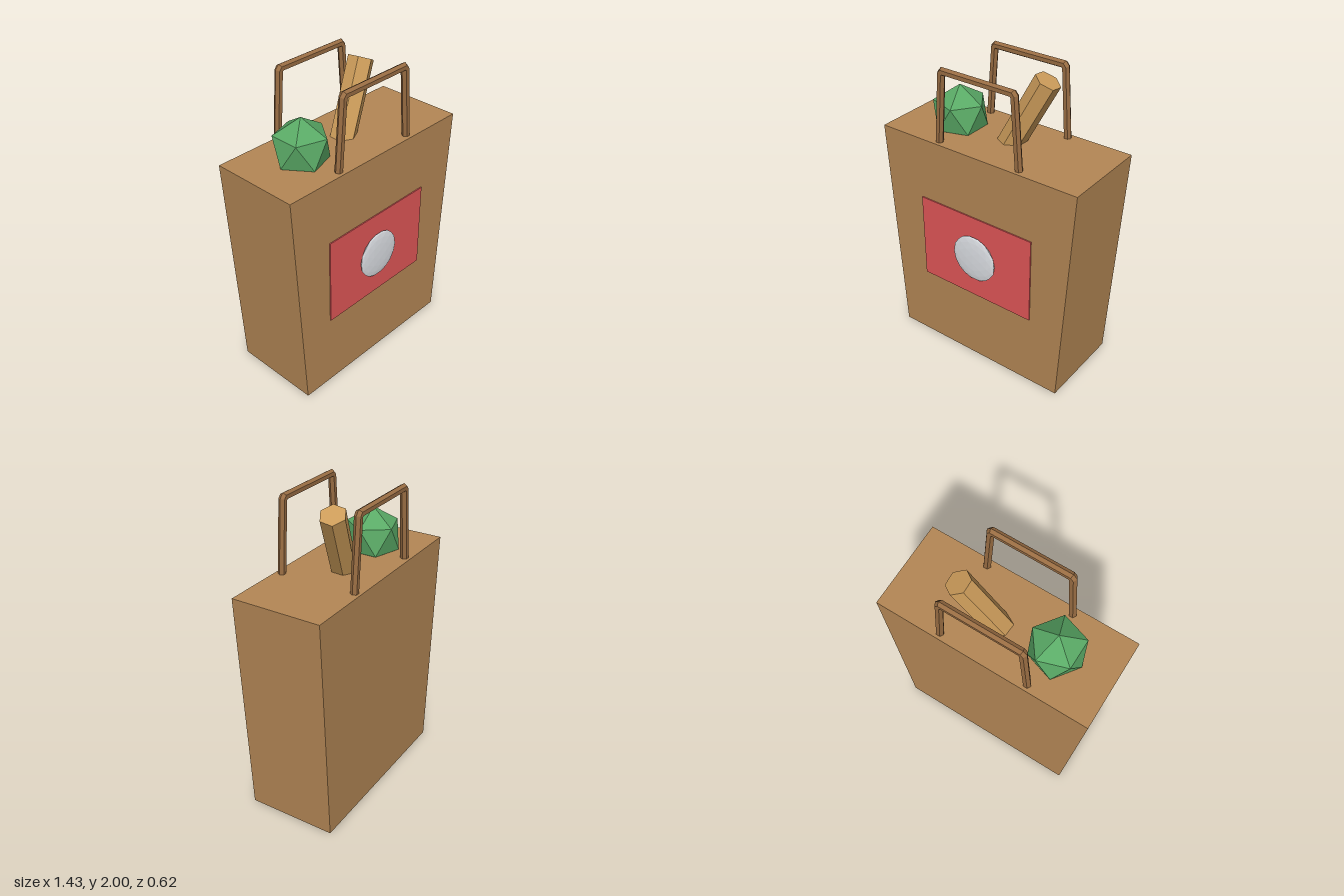
import * as THREE from 'three';

const mat = (name, color) => Object.assign(new THREE.MeshStandardMaterial({ color }), { name });

// Faceted look: one normal per face
function flat(geometry) {
  const g = geometry.index ? geometry.toNonIndexed() : geometry;
  g.computeVertexNormals();
  return g;
}

// Six-sided rod following a path in the xy plane, with mitred corners
function hexRod(path, radius) {
  const pts = path.map(([x, y]) => new THREE.Vector2(x, y));
  const positions = [], index = [], sides = 6, last = pts.length - 1;
  pts.forEach((p, i) => {
    const a = pts[Math.max(i - 1, 0)], b = pts[Math.min(i + 1, last)];
    const dirIn = (i ? p.clone().sub(a) : b.clone().sub(p)).normalize();
    const dirOut = (i < last ? b.clone().sub(p) : p.clone().sub(a)).normalize();
    const t = dirIn.clone().add(dirOut).normalize();
    const r = radius / t.dot(dirIn);
    for (let k = 0; k < sides; k++) {
      const angle = (k / sides) * Math.PI * 2;
      positions.push(p.x - t.y * r * Math.cos(angle), p.y + t.x * r * Math.cos(angle), radius * Math.sin(angle));
      if (i < last) {
        const m = i * sides + k, n = i * sides + (k + 1) % sides;
        index.push(m, n, m + sides, n, n + sides, m + sides);
      }
    }
  });
  // End caps
  for (let k = 1; k < sides - 1; k++) {
    const e = last * sides;
    index.push(0, k + 1, k, e, e + k, e + k + 1);
  }
  const g = new THREE.BufferGeometry();
  g.setAttribute('position', new THREE.Float32BufferAttribute(positions, 3));
  g.setIndex(index);
  return flat(g);
}

export function createModel() {
  const model = new THREE.Group();
  model.name = 'groceryBag';
  const paper = mat('brownPaper', 0xb48755);
  const handleBrown = mat('handleBrown', 0x996d43);
  const red = mat('labelRed', 0xe05657);
  const white = mat('emblemGrey', 0xdcdfe4);
  const green = mat('leafGreen', 0x5aaa66);
  const crust = mat('breadCrust', 0xcc9c5a);

  const add = (name, geometry, material, x = 0, y = 0, z = 0) => {
    const mesh = new THREE.Mesh(geometry, material);
    mesh.name = name;
    mesh.position.set(x, y, z);
    model.add(mesh);
    return mesh;
  };

  // Closed bag body, wider at the top
  const height = 1.513;
  const body = new THREE.BoxGeometry(1.26, height, 0.588);
  const pos = body.attributes.position;
  for (let i = 0; i < pos.count; i++) {
    if (pos.getY(i) > 0) pos.setX(i, Math.sign(pos.getX(i)) * 0.713);
  }
  add('bagBody', flat(body), paper, 0, height / 2, -0.017);

  // Front label with a shallow domed emblem
  add('label', new THREE.BoxGeometry(0.84, 0.59, 0.009), red, 0, 0.803, 0.28);
  const dome = new THREE.IcosahedronGeometry(0.162, 2);
  dome.scale(1, 1, 0.1);
  add('emblem', flat(dome), white, 0, 0.803, 0.294);

  // Two carrying handles
  const handlePath = [[-0.295, 1.5], [-0.259, 1.962], [-0.247, 1.976], [0.247, 1.976], [0.259, 1.962], [0.295, 1.5]];
  const handle = hexRod(handlePath, 0.025);
  add('frontHandle', handle, handleBrown, 0, 0, 0.234);
  add('backHandle', handle, handleBrown, 0, 0, -0.27);

  // Leafy vegetable: an icosahedron standing on one corner
  const leaf = new THREE.IcosahedronGeometry(0.187, 0);
  leaf.rotateZ(-Math.atan(2 / (1 + Math.sqrt(5))));
  add('vegetable', leaf, green, -0.337, 1.598, -0.02);

  // Leaning loaf; its origin is the centre of the upper end
  const loaf = new THREE.CylinderGeometry(0.083, 0.083, 0.7, 6);
  loaf.translate(0, -0.35, 0);
  add('breadLoaf', flat(loaf), crust, 0.252, 1.933, -0.1).rotation.set(-0.13, 0, -0.458);

  return model;
}
